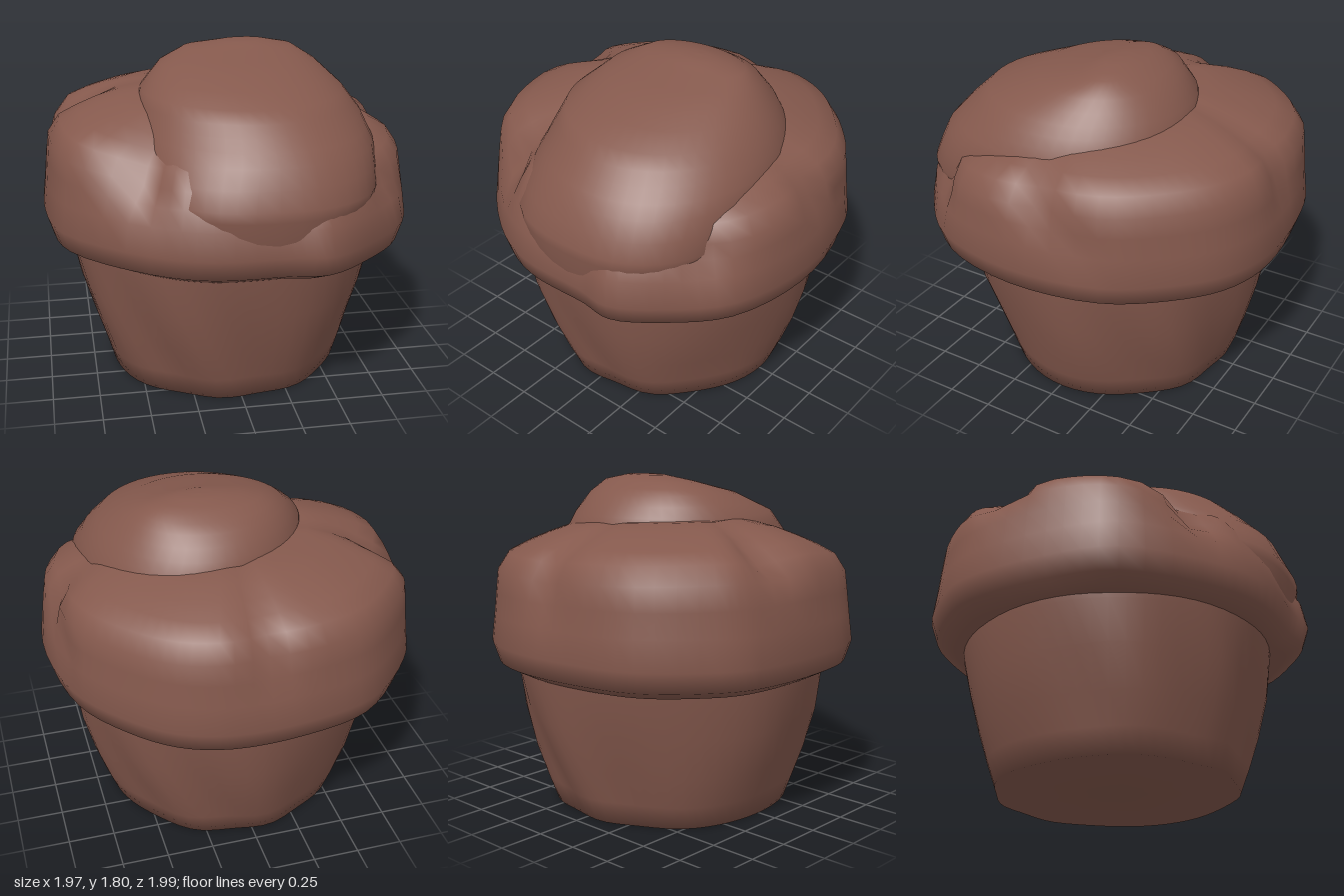
import * as THREE from 'three';

// Closed loft: rings run bottom to top, point(ring, u) gives [x, y, z] for u in 0..1
function loft(rings, columns, point) {
  const pos = [], index = [];
  rings.forEach((ring, i) => {
    for (let j = 0; j < columns; j++) pos.push(...point(ring, j / columns));
    if (i === 0) return;
    for (let j = 0; j < columns; j++) {
      const k = (j + 1) % columns, lo = (i - 1) * columns, hi = i * columns;
      index.push(lo + j, lo + k, hi + j, lo + k, hi + k, hi + j);
    }
  });
  const g = new THREE.BufferGeometry();
  g.setAttribute('position', new THREE.Float32BufferAttribute(pos, 3));
  g.setIndex(index);
  g.computeVertexNormals();
  return g;
}

// Inserts evenly spaced rows between profile rows
function subdivide(rows, n) {
  const out = [];
  for (let i = 0; i < rows.length - 1; i++)
    for (let s = 0; s < n; s++)
      out.push(rows[i].map((v, c) => v + (rows[i + 1][c] - v) * s / n));
  out.push(rows[rows.length - 1]);
  return out;
}

// Irregular rim of the crown seen from above, [x, z]
const RIM = [[0.2, 0.97], [0.39, 0.985], [0.63, 0.83], [0.87, 0.57], [0.98, 0.1], [0.9, -0.4],
  [0.7, -0.7], [0.47, -0.9], [0.2, -0.99], [-0.2, -0.98], [-0.57, -0.88], [-0.86, -0.6],
  [-0.96, -0.4], [-0.985, 0.08], [-0.9, 0.45], [-0.5, 0.83], [-0.2, 0.96]];
const rimCurve = new THREE.CatmullRomCurve3(RIM.map(([x, z]) => new THREE.Vector3(x, 0, z)), true);

// Folds in the crown: [angle, height, angular width, vertical width, depth]
const FOLDS = [[-1.84, 1.42, 0.14, 0.1, 0.11], [-0.66, 1.34, 0.16, 0.16, 0.12],
  [1.6, 1.35, 0.13, 0.13, 0.08], [3.14, 1.36, 0.12, 0.2, 0.06], [0.86, 1.25, 0.13, 0.18, 0.06],
  [1.85, 1.15, 0.1, 0.14, 0.03]];

function crownPoint([scale, y], u) {
  const { x, z } = rimCurve.getPoint(u);
  const a = Math.atan2(x, z);
  const up = THREE.MathUtils.smoothstep(y, 1.0, 1.4);
  const front = Math.max(0, Math.cos(a - 0.1));
  // Top is higher at the left and sinks beneath the dome at the front
  const lift = up * Math.min(1, scale * 1.4) * (-0.025 * Math.sin(a) - 0.1 * front + 0.01);
  let dent = 0.1 * up * front ** 3;
  let fold = 0;
  for (const [fa, fy, wa, wy, depth] of FOLDS) {
    const d = Math.atan2(Math.sin(a - fa), Math.cos(a - fa)) / wa, e = (y - fy) / wy;
    fold += depth * Math.exp(-d * d - e * e);
  }
  const s = scale * (1 - dent - fold);
  return [x * s, y + lift - fold * 0.4, z * s];
}

// Wrapper-shaped base with soft pleats
function cupPoint([r, y], u) {
  const a = u * Math.PI * 2;
  const pleat = 0.5 + 0.5 * Math.sin(7 * a + 1.6 * Math.sin(2 * a + 3 * y) + y);
  const depth = 0.045 * Math.sin(Math.PI * Math.min(1, 0.25 + y));
  const s = r * (1 - depth * pleat);
  return [Math.sin(a) * s, y, Math.cos(a) * s - 0.015];
}

// Puffed dome, each ring an oval given by its extents, squarer low down
function domePoint([y, x0, x1, z0, z1], u) {
  const a = u * Math.PI * 2;
  const power = 0.82 + 0.18 * THREE.MathUtils.smoothstep(y, 1.15, 1.5);
  const bend = v => Math.sign(v) * Math.abs(v) ** power;
  const wob = 1 + 0.01 * Math.sin(3 * a + 4 * y);
  return [(x0 + x1) / 2 + (x1 - x0) / 2 * bend(Math.sin(a)) * wob, y,
    (z0 + z1) / 2 + (z1 - z0) / 2 * bend(Math.cos(a)) * wob];
}

export function createModel() {
  const group = new THREE.Group();
  const brown = new THREE.MeshStandardMaterial({ color: 0x85594d });
  brown.name = 'bakedBrown';
  const add = (name, geometry) => {
    const mesh = new THREE.Mesh(geometry, brown);
    mesh.name = name;
    group.add(mesh);
  };

  // Tapered base, closed underneath
  const cup = [[0, 0], [0.66, 0], [0.708, 0.13], [0.765, 0.3], [0.822, 0.52], [0.85, 0.74], [0.86, 0.84]];
  add('cup', loft(cup, 60, cupPoint));

  // Overhanging crown
  const crown = [[0.78, 0.75], [0.87, 0.77], [0.965, 0.82], [1, 0.93], [0.982, 1.08], [0.97, 1.2],
    [0.958, 1.31], [0.9, 1.4], [0.8, 1.45], [0.7, 1.49], [0.58, 1.53], [0.45, 1.56], [0, 1.58]];
  add('crown', loft(crown, RIM.length * 4, crownPoint));

  // Risen dome bulging toward the front
  const dome = [[0.82, -0.3, 0.55, -0.3, 0.88], [0.95, -0.42, 0.66, -0.4, 0.955],
    [1.06, -0.48, 0.71, -0.45, 0.975], [1.17, -0.51, 0.745, -0.48, 0.985], [1.36, -0.5, 0.755, -0.5, 0.9],
    [1.48, -0.48, 0.71, -0.49, 0.79], [1.59, -0.45, 0.63, -0.45, 0.67], [1.7, -0.34, 0.51, -0.36, 0.38],
    [1.765, -0.2, 0.4, -0.25, 0.1], [1.795, 0, 0.25, -0.15, 0], [1.8, 0.13, 0.13, -0.08, -0.08]];
  add('dome', loft(subdivide(dome, 2), 48, domePoint));
  return group;
}
